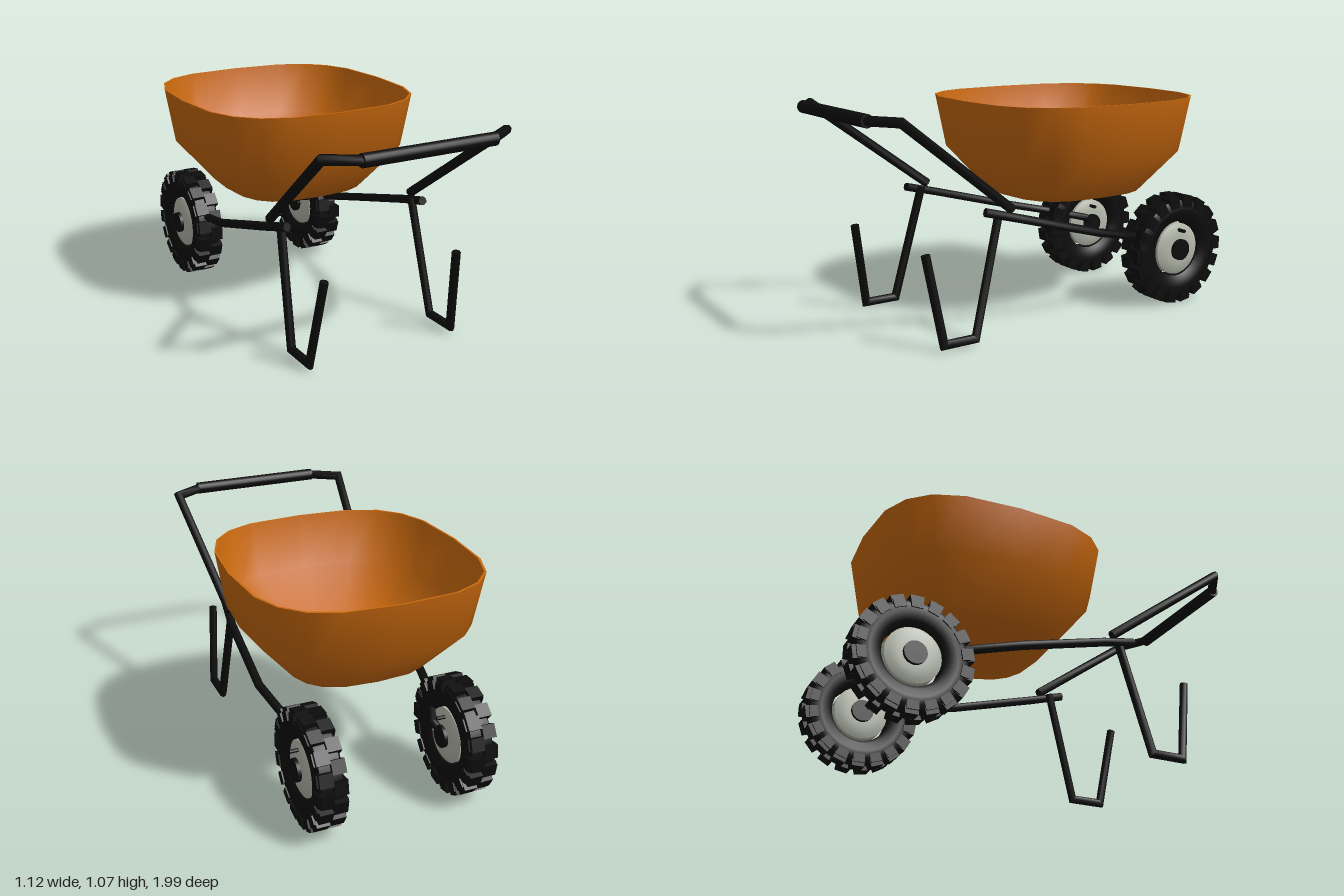
import * as THREE from 'three';
import { toCreasedNormals, mergeGeometries } from 'three/addons/utils/BufferGeometryUtils.js';

const paint = (name, color) => {
  const m = new THREE.MeshStandardMaterial({ color });
  m.name = name;
  return m;
};

// Joins loops of points into a closed skin with end caps.
function loft(loops, crease) {
  const n = loops[0].length, pos = [], idx = [];
  loops.forEach(l => l.forEach(p => pos.push(p.x, p.y, p.z)));
  for (let i = 0; i < loops.length - 1; i++)
    for (let j = 0; j < n; j++) {
      const a = i * n + j, b = i * n + (j + 1) % n;
      idx.push(a, a + n, b, b, a + n, b + n);
    }
  [0, loops.length - 1].forEach((row, end) => {
    const c = new THREE.Vector3();
    loops[row].forEach(p => c.addScaledVector(p, 1 / n));
    const k = pos.length / 3;
    pos.push(c.x, c.y, c.z);
    for (let j = 0; j < n; j++) {
      const a = row * n + j, b = row * n + (j + 1) % n;
      if (end) idx.push(k, b, a); else idx.push(k, a, b);
    }
  });
  const g = new THREE.BufferGeometry();
  g.setAttribute('position', new THREE.Float32BufferAttribute(pos, 3));
  g.setIndex(idx);
  g.computeVertexNormals();
  return toCreasedNormals(g, crease);
}

// Round bar along a bent path, with mitred corners.
function bar(path, radius, sides = 8) {
  const pts = path.map(p => new THREE.Vector3(...p));
  const dirs = pts.slice(1).map((p, i) => p.clone().sub(pts[i]).normalize());
  const u = new THREE.Vector3(0, 1, 0).cross(dirs[0]).normalize();
  const v = dirs[0].clone().cross(u);
  let ring = [];
  for (let j = 0; j < sides; j++) {
    const a = -(j + 0.5) / sides * Math.PI * 2;
    ring.push(pts[0].clone().addScaledVector(u, Math.cos(a) * radius).addScaledVector(v, Math.sin(a) * radius));
  }
  const loops = [ring];
  for (let i = 1; i < pts.length; i++) {
    const d = dirs[i - 1];
    const normal = d.clone().add(dirs[i] || d).normalize();
    ring = ring.map(p => p.clone().addScaledVector(d, pts[i].clone().sub(p).dot(normal) / d.dot(normal)));
    loops.push(ring);
  }
  return loft(loops, 0.9);
}

// Lathe turned onto the x axis; profile points are [radius, x].
function turned(profile, segments) {
  const g = new THREE.LatheGeometry(profile.map(p => new THREE.Vector2(...p)), segments);
  return toCreasedNormals(g.rotateZ(-Math.PI / 2), 0.6);
}

// Rounded-square tub: outer wall up, over the lip, inner wall down.
function tubGeometry() {
  const quarter = [[1, 0], [0.965, 0.46], [0.866, 0.71], [0.705, 0.87], [0.473, 0.966]];
  const outline = [];
  for (let q = 0; q < 4; q++)
    for (const [a, b] of quarter)
      outline.push([[a, b], [-b, a], [-a, -b], [b, -a]][q]);
  const levels = [ // y, half width, half depth
    [0.59, 0.34, 0.355], [0.8, 0.52, 0.535], [1.065, 0.56, 0.585],
    [1.065, 0.55, 0.575], [0.803, 0.51, 0.525], [0.6, 0.335, 0.35],
  ];
  return loft(levels.map(([y, w, d]) =>
    outline.map(([a, b]) => new THREE.Vector3(a * w, y, -0.278 + b * d))), 1.2);
}

// Chunky tread: two staggered rows of blocks wrapping onto the sidewalls.
function treadGeometry(count = 18) {
  const blocks = [];
  for (const side of [-1, 1])
    for (let i = 0; i < count; i++) {
      const a = (i + (side > 0 ? 0.5 : 0)) / count * Math.PI * 2;
      blocks.push(new THREE.BoxGeometry(0.064, 0.035, 0.062).translate(side * 0.032, 0.261, 0).rotateX(a));
      blocks.push(new THREE.BoxGeometry(0.016, 0.042, 0.056).translate(side * 0.063, 0.239, 0).rotateX(a));
    }
  return mergeGeometries(blocks);
}

export function createModel() {
  const root = new THREE.Group();
  root.name = 'wheelbarrow';
  const orange = paint('orange tub', 0xc9690e);
  const black = paint('black frame and rubber', 0x0c0c0c);
  const grey = paint('pale grey rim', 0xb3b8aa);

  const add = (parent, name, geometry, material) => {
    const mesh = new THREE.Mesh(geometry, material);
    mesh.name = name;
    parent.add(mesh);
    return mesh;
  };

  add(root, 'tub', tubGeometry(), orange);
  add(root, 'handleGrip',
    new THREE.CylinderGeometry(0.03, 0.03, 0.665, 16).rotateZ(Math.PI / 2).translate(0, 1.05, 0.967), black);

  // Frame bars, mirrored on both sides
  for (const s of [1, -1]) {
    const side = s > 0 ? 'left' : 'right';
    const at = path => path.map(([x, y, z]) => [x * s, y, z]);
    add(root, side + 'HandleBar', bar(at([
      [0.32, 1.05, 0.967], [0.462, 1.05, 0.878], [0.388, 0.61, 0.29]]), 0.023), black);
    add(root, side + 'LowerBar', bar(at([
      [0.37, 0.607, 0.42], [0.395, 0.56, 0.24], [0.41, 0.44, -0.2], [0.36, 0.375, -0.48],
      [0.282, 0.33, -0.66], [0.31, 0.29, -0.71]]), 0.021), black);
    add(root, side + 'Leg', bar(at([
      [0.36, 0.6, 0.34], [0.388, 0.037, 0.487], [0.388, 0.037, 0.652], [0.352, 0.45, 0.718]]), 0.021), black);

    // Wheel
    const wheel = new THREE.Group();
    wheel.name = side + 'Wheel';
    wheel.position.set(0.36 * s, 0.285, -0.717);
    root.add(wheel);
    add(wheel, 'tyre', turned([
      [0.143, -0.04], [0.16, -0.055], [0.2, -0.065], [0.235, -0.063], [0.255, -0.05], [0.26, 0],
      [0.255, 0.05], [0.235, 0.063], [0.2, 0.065], [0.16, 0.055], [0.143, 0.04], [0.143, -0.04]], 36), black);
    add(wheel, 'tread', treadGeometry(), black);
    add(wheel, 'rim', turned([
      [0.03, -0.06], [0.075, -0.06], [0.11, -0.053], [0.132, -0.042],
      [0.132, 0.042], [0.11, 0.053], [0.075, 0.06], [0.03, 0.06]], 36), grey);
    add(wheel, 'hub', new THREE.CylinderGeometry(0.054, 0.054, 0.155, 20).rotateZ(Math.PI / 2), black);
    add(wheel, 'valve',
      new THREE.CylinderGeometry(0.009, 0.009, 0.065, 10).rotateZ(Math.PI / 2).translate(0.063, 0.1, 0), black);
  }
  return root;
}
